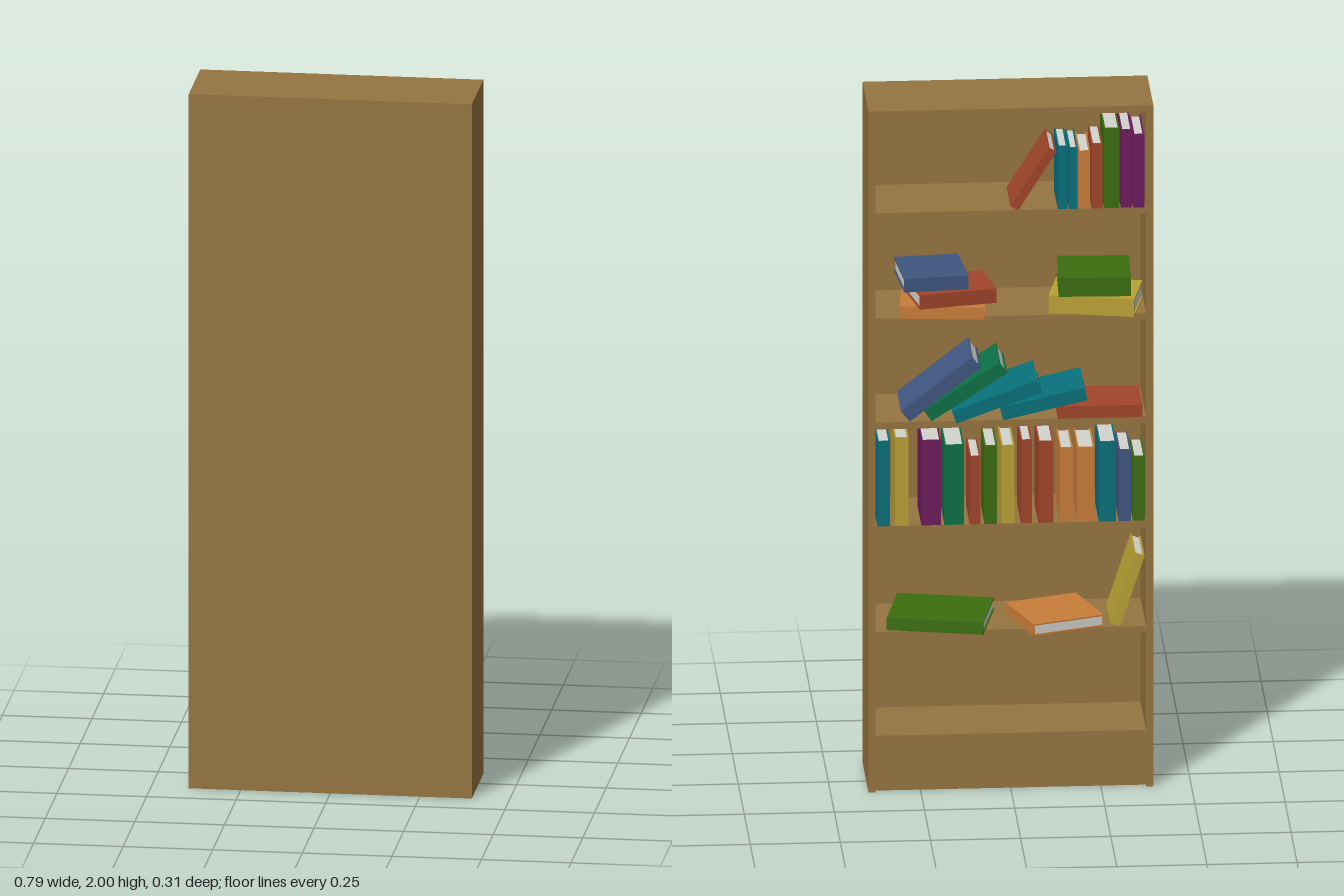
import * as THREE from 'three';
import { mergeGeometries } from 'three/addons/utils/BufferGeometryUtils.js';

const PALETTE = {
  wood: 0x967440, pages: 0xd4d4ce, navy: 0x3f5680, red: 0xa0452a, orange: 0xc87d3a,
  green: 0x3c6e10, yellow: 0xb9a133, teal: 0x08707a, emerald: 0x0b7045, purple: 0x6e1a5c,
};
const mats = {};
for (const [name, color] of Object.entries(PALETTE)) {
  mats[name] = new THREE.MeshStandardMaterial({ color });
  mats[name].name = name;
}

const boxAt = (w, h, d, x, y, z) => new THREE.BoxGeometry(w, h, d).translate(x, y, z);

function addMesh(parent, name, geometry, mat) {
  const mesh = new THREE.Mesh(geometry, mat);
  mesh.name = name;
  parent.add(mesh);
  return mesh;
}

// Closed book centred on the origin: thickness on x, height on y, spine at -z
function makeBook(color, t, h, d) {
  const book = new THREE.Group();
  book.name = color + 'Book';
  const c = 0.004;
  const cover = mergeGeometries([
    boxAt(c, h, d, -t / 2 + c / 2, 0, 0),
    boxAt(c, h, d, t / 2 - c / 2, 0, 0),
    boxAt(t - 2 * c, h, c, 0, 0, -d / 2 + c / 2),
  ]);
  addMesh(book, 'cover', cover, mats[color]);
  addMesh(book, 'pageBlock', boxAt(t - 2 * c, h - 2 * c, d - 2 * c, 0, 0, 0), mats.pages);
  return book;
}

const FRONT = -0.092; // z of the spines standing in a row
const SHELVES = [1.70, 1.39, 1.085, 0.78, 0.47, 0.165]; // top surfaces

export function createModel() {
  const model = new THREE.Group();
  model.name = 'bookcase';

  // Carcass, open towards -z
  const W = 0.79, H = 2, T = 0.02, zOpen = -0.095, zBack = 0.152;
  const D = zBack - zOpen, zMid = (zBack + zOpen) / 2, inner = W - 2 * T;
  const frame = new THREE.Group();
  frame.name = 'frame';
  model.add(frame);
  for (const s of [-1, 1]) {
    addMesh(frame, s > 0 ? 'leftSide' : 'rightSide', boxAt(T, H, D, s * (W - T) / 2, H / 2, zMid), mats.wood);
  }
  addMesh(frame, 'topPanel', boxAt(inner, T, D, 0, H - T / 2, zMid), mats.wood);
  addMesh(frame, 'backPanel', boxAt(inner, H - T, 0.01, 0, (H - T) / 2, zBack - 0.005), mats.wood);
  for (const y of SHELVES) {
    addMesh(frame, 'shelf', boxAt(inner, T, D - 0.013, 0, y - T / 2, zMid - 0.0035), mats.wood);
  }
  addMesh(frame, 'kickBoard', boxAt(inner, SHELVES[5] - T, T, 0, (SHELVES[5] - T) / 2, zOpen + 0.025), mats.wood);

  const books = new THREE.Group();
  books.name = 'books';
  model.add(books);

  // Upright row: [color, left x, right x, height]
  const standRow = (y, depth, row) => {
    for (const [color, x1, x0, h] of row) {
      const d = depth * (0.8 + 0.8 * h);
      const b = makeBook(color, x1 - x0, h, d);
      b.position.set((x0 + x1) / 2, y + h / 2, FRONT + d / 2);
      books.add(b);
    }
  };
  // Leaning towards -x by an angle in degrees, resting on its lower edge at x
  const lean = (color, x, y, z, t, h, d, degrees) => {
    const a = THREE.MathUtils.degToRad(degrees), s = Math.sin(a), c = Math.cos(a);
    const b = makeBook(color, t, h, d);
    b.rotation.z = a;
    b.position.set(x + t / 2 * c - h / 2 * s, y + t / 2 * s + h / 2 * c, z + d / 2);
    books.add(b);
  };
  // Lying flat and turned by an angle in degrees
  const lay = (color, x, y, z, t, h, d, degrees) => {
    const b = makeBook(color, t, h, d);
    b.rotation.set(0, THREE.MathUtils.degToRad(degrees), Math.PI / 2, 'YXZ');
    b.position.set(x, y + t / 2, z);
    books.add(b);
  };

  // Top shelf: short row with one leaning book
  standRow(SHELVES[0], 0.165, [
    ['teal', -0.13, -0.157, 0.185], ['teal', -0.161, -0.185, 0.18],
    ['orange', -0.188, -0.22, 0.17], ['red', -0.224, -0.254, 0.19],
    ['green', -0.258, -0.301, 0.235], ['purple', -0.305, -0.336, 0.23],
    ['purple', -0.339, -0.37, 0.215],
  ]);
  lean('red', -0.02, SHELVES[0], -0.096, 0.026, 0.2, 0.155, 32);

  // Second shelf: two stacks
  const y2 = SHELVES[1];
  lay('orange', 0.184, y2, -0.028, 0.036, 0.235, 0.16, -6);
  lay('red', 0.162, y2 + 0.036, -0.026, 0.042, 0.22, 0.16, 11);
  lay('navy', 0.215, y2 + 0.078, 0.0, 0.04, 0.18, 0.185, 5);
  lay('yellow', -0.239, y2, -0.022, 0.052, 0.24, 0.16, -12);
  lay('green', -0.236, y2 + 0.052, -0.002, 0.055, 0.2, 0.185, -2);

  // Third shelf: toppled row, each book resting on the next
  const y3 = SHELVES[2];
  lean('navy', 0.28, y3, -0.09, 0.04, 0.25, 0.165, 52);
  lean('emerald', 0.22, y3, -0.092, 0.038, 0.25, 0.165, 57);
  lean('teal', 0.152, y3, -0.115, 0.038, 0.25, 0.17, 70);
  lean('teal', 0.022, y3, -0.097, 0.038, 0.24, 0.17, 77);
  lean('red', -0.13, y3, -0.094, 0.036, 0.235, 0.165, 90);

  // Fourth shelf: full row
  standRow(SHELVES[3], 0.16, [
    ['teal', 0.37, 0.335, 0.25], ['yellow', 0.322, 0.284, 0.26],
    ['purple', 0.248, 0.194, 0.25], ['emerald', 0.184, 0.13, 0.235],
    ['red', 0.114, 0.084, 0.2], ['green', 0.073, 0.038, 0.23],
    ['yellow', 0.026, -0.01, 0.23], ['red', -0.028, -0.058, 0.245],
    ['red', -0.076, -0.118, 0.24], ['orange', -0.136, -0.172, 0.22],
    ['orange', -0.184, -0.232, 0.22], ['teal', -0.244, -0.292, 0.235],
    ['navy', -0.299, -0.333, 0.21], ['green', -0.339, -0.372, 0.19],
  ]);

  // Fifth shelf: two flat books and one against the side
  const y5 = SHELVES[4];
  lay('green', 0.19, y5, -0.004, 0.036, 0.27, 0.21, -12);
  lay('orange', -0.126, y5, -0.026, 0.034, 0.2, 0.21, -71);
  lean('yellow', -0.305, y5, -0.085, 0.03, 0.215, 0.16, 18);

  return model;
}
